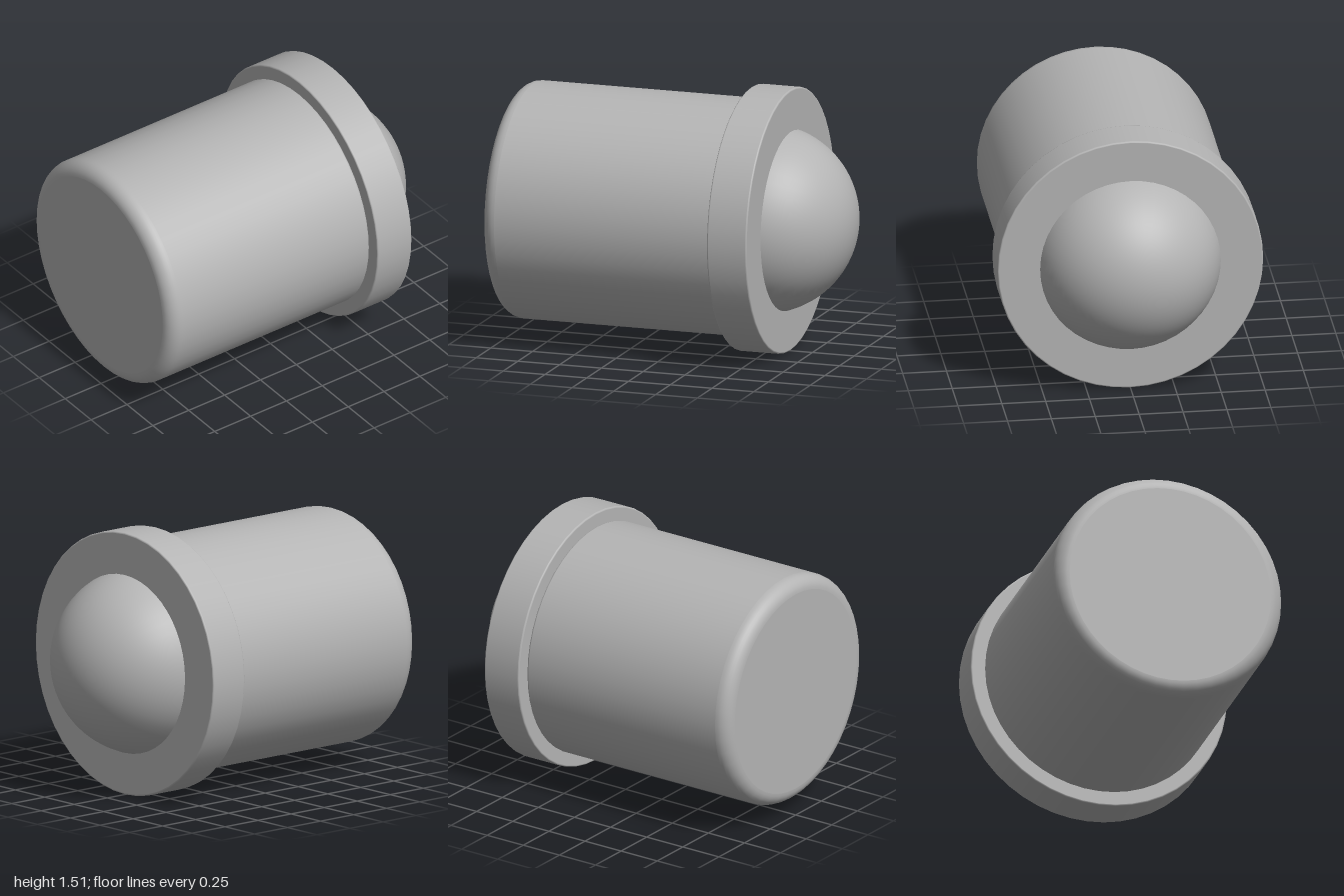
import * as THREE from 'three';

const SEGMENTS = 48;
const AXIS_HEIGHT = 0.757;

// Closed disc-ended cylinder from z0 to z1 with rounded rims (r0 at z0, r1 at z1)
function roundedCylinder(radius, z0, z1, r0, r1, steps0, steps1) {
  const eps = 0.001; // support points keep flat faces evenly shaded
  const pts = [new THREE.Vector2(0, z0), new THREE.Vector2(radius - r0 - eps, z0)];
  for (let i = 0; i <= steps0; i++) {
    const a = (i / steps0) * Math.PI / 2;
    pts.push(new THREE.Vector2(radius - r0 + r0 * Math.sin(a), z0 + r0 - r0 * Math.cos(a)));
  }
  pts.push(new THREE.Vector2(radius, z0 + r0 + eps));
  pts.push(new THREE.Vector2(radius, z1 - r1 - eps));
  for (let i = 0; i <= steps1; i++) {
    const a = (i / steps1) * Math.PI / 2;
    pts.push(new THREE.Vector2(radius - r1 + r1 * Math.cos(a), z1 - r1 + r1 * Math.sin(a)));
  }
  pts.push(new THREE.Vector2(radius - r1 - eps, z1), new THREE.Vector2(0, z1));
  return new THREE.LatheGeometry(pts, SEGMENTS).rotateX(Math.PI / 2);
}

export function createModel() {
  const model = new THREE.Group();
  model.name = 'ballPlunger';
  const grey = new THREE.MeshStandardMaterial({ color: 0xb4b4b4 });
  grey.name = 'plain grey';

  const add = (name, geometry) => {
    const mesh = new THREE.Mesh(geometry, grey);
    mesh.name = name;
    mesh.position.y = AXIS_HEIGHT;
    model.add(mesh);
    return mesh;
  };

  // Long sleeve with a broad rounded front rim and a fine edge at the collar
  add('sleeve', roundedCylinder(0.675, -0.385, 1, 0.012, 0.08, 3, 8));

  // Wide collar with finely broken edges
  add('collar', roundedCylinder(0.757, -0.62, -0.382, 0.008, 0.008, 3, 3));

  // Ball cap bulging out of the back, slightly sunk into the collar
  const ballRadius = 0.539;
  const cap = new THREE.SphereGeometry(ballRadius, SEGMENTS, 20, 0, Math.PI * 2, 0, 1.3);
  add('ball', cap.rotateX(-Math.PI / 2)).position.z = ballRadius - 1;

  return model;
}
